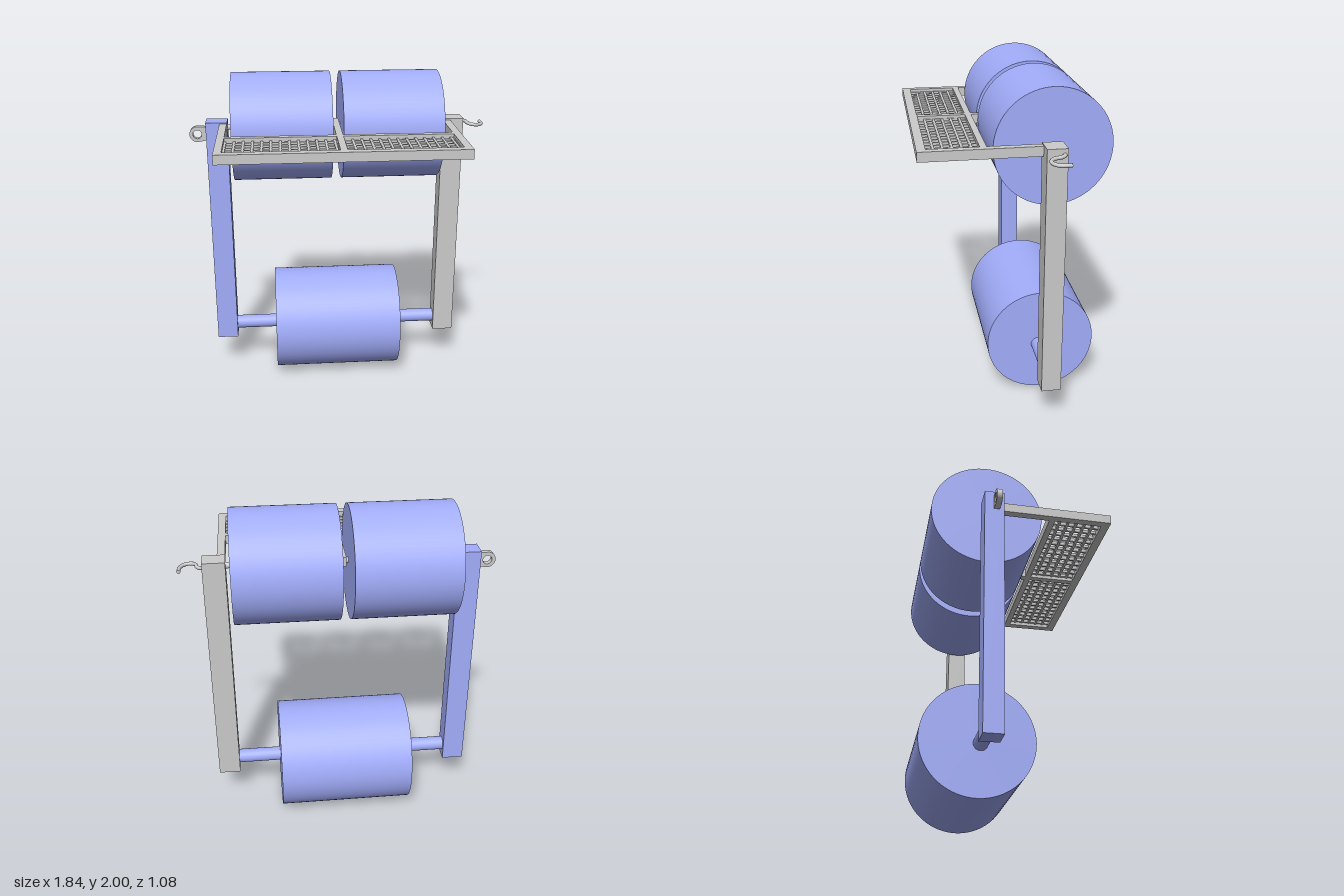
import * as THREE from 'three';

export function createModel() {
  const group = new THREE.Group();
  const grey = new THREE.MeshStandardMaterial({ color: 0xcccccc });
  const blue = new THREE.MeshStandardMaterial({ color: 0xa3aefc });

  const add = (name, geometry, material, parent = group) => {
    const mesh = new THREE.Mesh(geometry, material);
    mesh.name = name;
    parent.add(mesh);
    return mesh;
  };
  // box given by its limits on each axis
  const box = (name, [x0, x1], [y0, y1], [z0, z1], material, parent) => {
    const mesh = add(name, new THREE.BoxGeometry(x1 - x0, y1 - y0, z1 - z0), material, parent);
    mesh.position.set((x0 + x1) / 2, (y0 + y1) / 2, (z0 + z1) / 2);
  };
  // cylinder lying along x
  const roller = (name, [x0, x1], y, z, r, material, segments = 72) => {
    const geometry = new THREE.CylinderGeometry(r, r, x1 - x0, segments).rotateZ(Math.PI / 2);
    add(name, geometry, material).position.set((x0 + x1) / 2, y, z);
  };

  // drums and their axles
  roller('upperDrumRight', [-0.655, -0.053], 1.668, -0.208, 0.332, blue);
  roller('upperDrumLeft', [0.01, 0.613], 1.668, -0.208, 0.332, blue);
  roller('lowerDrum', [-0.425, 0.382], 0.333, -0.208, 0.332, blue);
  roller('upperAxle', [-0.7, 0.66], 1.67, -0.193, 0.018, grey, 24);
  roller('lowerAxle', [-0.7, 0.66], 0.312, -0.193, 0.043, blue, 32);

  // upright posts
  box('rightPost', [-0.82, -0.688], [0.228, 1.71], [-0.25, -0.135], blue);
  box('leftPost', [0.646, 0.778], [0.228, 1.71], [-0.25, -0.135], grey);

  // tray frame
  const tray = new THREE.Group();
  tray.name = 'tray';
  group.add(tray);
  const frameY = [1.646, 1.702];
  box('rightArm', [-0.735, -0.69], frameY, [-0.2, 0.535], grey, tray);
  box('leftArm', [0.648, 0.694], frameY, [-0.2, 0.535], grey, tray);
  box('frontRail', [-0.735, 0.694], frameY, [0.485, 0.535], grey, tray);
  box('backRail', [-0.69, 0.648], frameY, [0.163, 0.2], grey, tray);
  box('centreArm', [-0.04, 0], frameY, [-0.232, 0.485], grey, tray);

  // tray grating
  const barY = [1.664, 1.684];
  for (let i = 0; i < 26; i++) {
    const x = -0.684 + i * 0.0526;
    box('crossWire', [x - 0.007, x + 0.007], barY, [0.195, 0.49], grey, tray);
  }
  for (let i = 0; i < 5; i++) {
    const z = 0.237 + i * 0.0513;
    box('longWire', [-0.69, 0.648], barY, [z - 0.007, z + 0.007], grey, tray);
  }

  // eyelet with a tab reaching the right post
  const eye = new THREE.Shape();
  eye.moveTo(0.06, 0.045);
  eye.lineTo(0, 0.048);
  eye.absarc(0, 0, 0.048, Math.PI / 2, Math.PI * 1.5, false);
  eye.lineTo(0.06, -0.038);
  eye.closePath();
  eye.holes.push(new THREE.Path().absarc(0, 0, 0.027, 0, Math.PI * 2, true));
  const eyeGeometry = new THREE.ExtrudeGeometry(eye, { depth: 0.034, bevelEnabled: false, curveSegments: 20 });
  add('eyelet', eyeGeometry, grey).position.set(-0.875, 1.633, -0.197);

  // hook on the left post
  const hookPath = new THREE.CatmullRomCurve3([
    [0.765, 1.678, -0.232], [0.79, 1.676, -0.227], [0.807, 1.674, -0.205],
    [0.812, 1.672, -0.175], [0.828, 1.669, -0.151], [0.855, 1.666, -0.142],
    [0.885, 1.664, -0.153], [0.904, 1.662, -0.182], [0.907, 1.662, -0.24],
  ].map((p) => new THREE.Vector3(...p)));
  add('hook', new THREE.TubeGeometry(hookPath, 48, 0.011, 12), grey);
  const tip = add('hookTip', new THREE.CircleGeometry(0.011, 12).rotateY(Math.PI), grey);
  tip.position.copy(hookPath.getPoint(1));

  return group;
}
